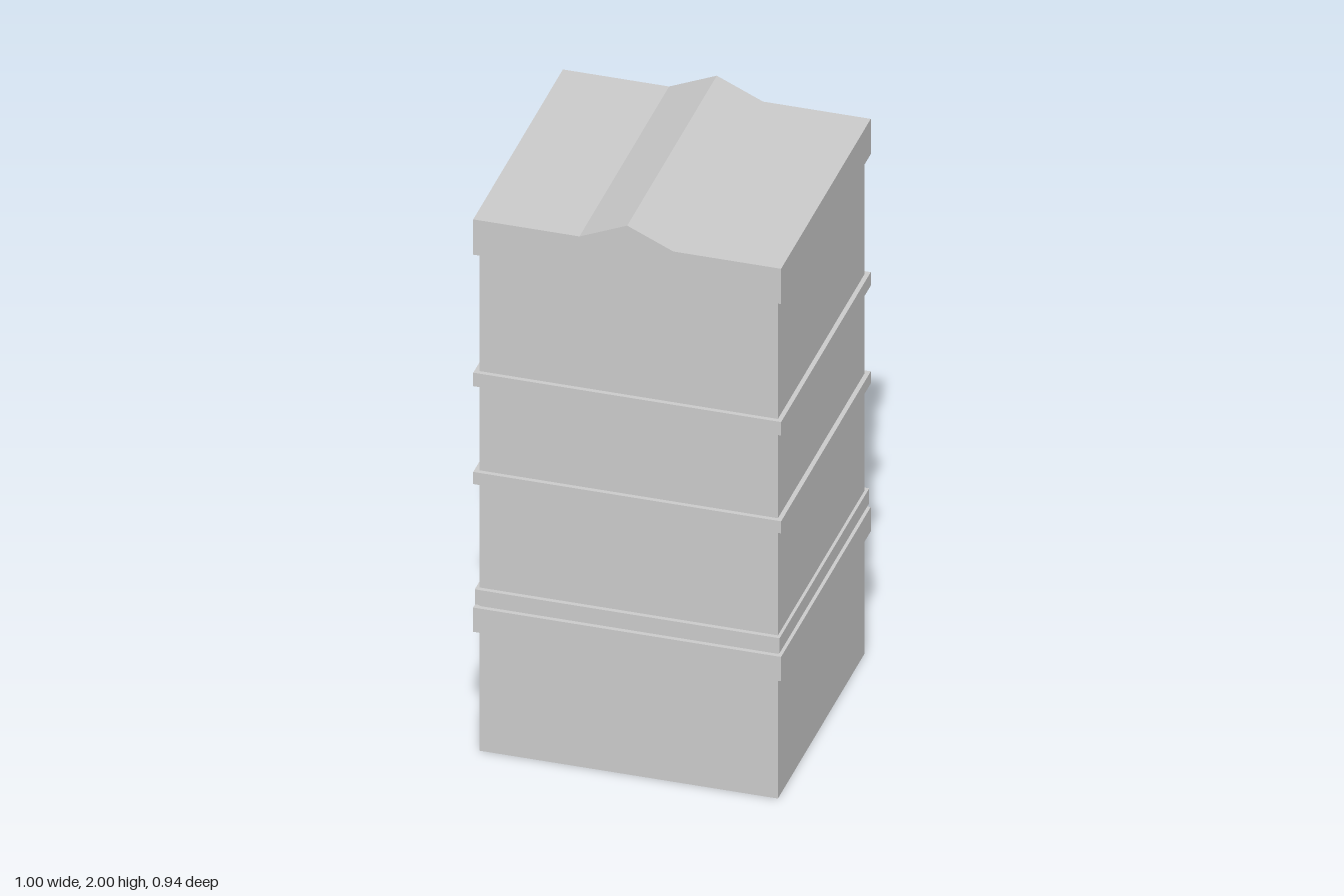
import * as THREE from 'three';

export function createModel() {
  const group = new THREE.Group();
  const material = new THREE.MeshStandardMaterial({ color: 0xcccccc, flatShading: true });

  const add = (name, geometry) => {
    const mesh = new THREE.Mesh(geometry, material);
    mesh.name = name;
    group.add(mesh);
    return mesh;
  };

  // Box centred on the y axis, given by its bottom and top heights
  const slab = (name, width, depth, bottom, top) => {
    const mesh = add(name, new THREE.BoxGeometry(width, top - bottom, depth));
    mesh.position.y = (bottom + top) / 2;
  };

  // Main block of the tower
  slab('body', 0.97, 0.91, 0, 1.82);

  // Projecting bands that wrap the body
  slab('baseCornice', 1, 0.94, 0.437, 0.525);
  slab('lowerBand', 0.99, 0.94, 0.538, 0.592);
  slab('middleBand', 1, 0.94, 0.973, 1.017);
  slab('upperBand', 1, 0.94, 1.328, 1.377);

  // Roof cap with a low gabled ridge running front to back
  const profile = new THREE.Shape([
    [-0.5, 1.805], [0.5, 1.805], [0.5, 1.933], [0.15, 1.933],
    [0, 2], [-0.155, 1.933], [-0.5, 1.933],
  ].map(([x, y]) => new THREE.Vector2(x, y)));
  const cap = new THREE.ExtrudeGeometry(profile, { depth: 0.94, bevelEnabled: false });
  cap.translate(0, 0, -0.47);
  add('roofCap', cap);

  return group;
}
